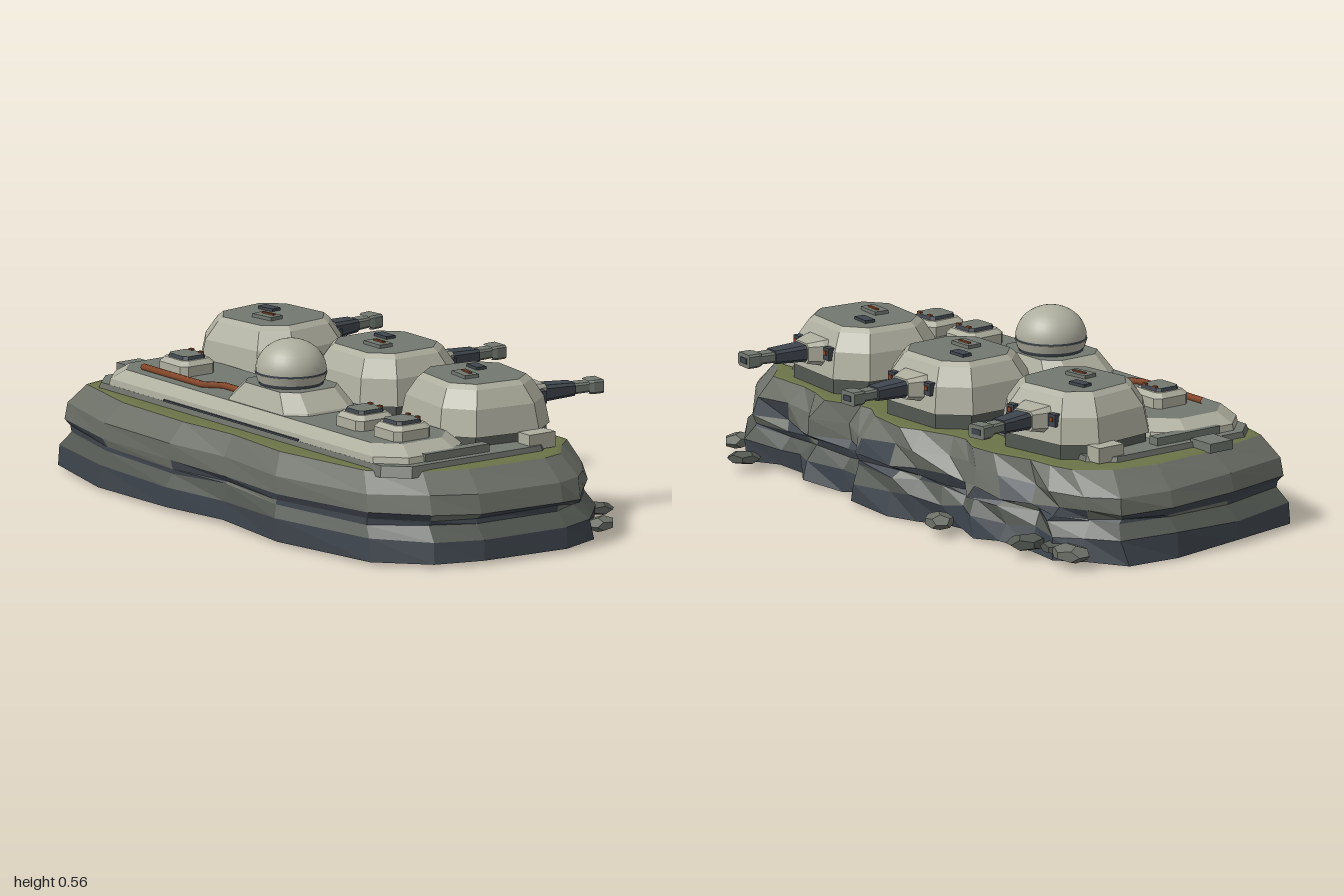
import * as THREE from 'three';

const mat = (name, color, side = THREE.FrontSide) => {
  const m = new THREE.MeshStandardMaterial({ color, side });
  m.name = name;
  return m;
};

export function createModel() {
  const D = THREE.DoubleSide;
  const light = mat('paleArmour', 0xaeae9f), deckGrey = mat('deckGrey', 0x727870);
  const rock = mat('rockGrey', 0x6c7067, D), slate = mat('darkSlate', 0x3f464e, D);
  const deepRock = mat('deepRock', 0x535852, D), moss = mat('moss', 0x6b7349, D);
  const copper = mat('copper', 0x86482a);
  const root = new THREE.Group();

  let seed = 11;
  const rnd = () => (seed = (seed * 16807) % 2147483647) / 2147483647;

  // Faceted skin over a stack of rings; pick(band, i) gives the material, band -1 is the top cap
  function loft(name, rings, mats, pick, capped = true) {
    const buckets = mats.map(() => []);
    const n = rings[0].length;
    const tri = (m, ...pts) => pts.forEach(p => buckets[m].push(p[0], p[1], p[2]));
    for (let b = 0; b < rings.length - 1; b++) {
      for (let i = 0; i < n; i++) {
        const j = (i + 1) % n, lo = rings[b], hi = rings[b + 1], m = pick(b, i);
        tri(m, lo[i], hi[i], hi[j]);
        tri(m, lo[i], hi[j], lo[j]);
      }
    }
    if (capped) {
      const top = rings[rings.length - 1];
      const c = [0, 1, 2].map(k => top.reduce((s, p) => s + p[k], 0) / n);
      for (let i = 0; i < n; i++) tri(pick(-1, i), c, top[(i + 1) % n], top[i]);
    }
    const g = new THREE.BufferGeometry();
    let start = 0;
    buckets.forEach((k, m) => {
      g.addGroup(start, k.length / 3, m);
      start += k.length / 3;
    });
    g.setAttribute('position', new THREE.Float32BufferAttribute(buckets.flat(), 3));
    g.computeVertexNormals();
    const mesh = new THREE.Mesh(g, mats);
    mesh.name = name;
    return mesh;
  }

  // Rectangle with cut corners
  const oct = (y, hx, hz, c, x = 0, z = 0) => [
    [-hx, hz - c], [-hx, c - hz], [c - hx, -hz], [hx - c, -hz],
    [hx, c - hz], [hx, hz - c], [hx - c, hz], [c - hx, hz],
  ].map(p => [p[0] + x, y, p[1] + z]);

  const block = (parent, name, levels, side, top = side) => {
    const m = loft(name, levels.map(l => oct(...l)), [side, top], b => (b < 0 ? 1 : 0));
    parent.add(m);
    return m;
  };
  const box = (parent, name, m, w, h, d, x, y, z) => {
    const b = new THREE.Mesh(new THREE.BoxGeometry(w, h, d), m);
    b.name = name;
    b.position.set(x, y, z);
    parent.add(b);
    return b;
  };

  // Rock island: an open shell of strata under a mossy top
  const outline = [
    [-1, -.05], [-.97, -.23], [-.88, -.31], [-.78, -.36], [-.66, -.34], [-.53, -.375], [-.4, -.4],
    [-.32, -.36], [-.24, -.365], [-.12, -.4], [-.02, -.415], [.16, -.4], [.22, -.36], [.29, -.35],
    [.43, -.385], [.52, -.35], [.62, -.345], [.78, -.35], [.88, -.26], [.96, -.2], [.99, -.1], [.97, .21],
    [.91, .36], [.76, .5], [.35, .56], [.03, .53], [-.23, .555], [-.6, .545], [-.905, .47], [-.975, .21],
  ];
  const strata = [
    [.012, 1, 1], [.08, .992, 1], [.125, .95, .967], [.14, .953, .967],
    [.162, .974, .985], [.22, .96, .985], [.285, .89, .92],
  ];
  const rings = strata.map(([y, sx, sz], k) => outline.map(([x, z]) => {
    const back = z < -.15;
    const j = back ? .03 : .006;
    return [
      x * sx + (Math.abs(x) > .97 ? 0 : (rnd() - .5) * j),
      y + (k === 6 ? 0 : (rnd() - .5) * (back ? .022 : .012)),
      z * sz + (rnd() - .5) * j * 1.2 - (back && k < 2 ? .01 : 0),
    ];
  }));
  const mossTop = rings[6].map(([x, y, z]) => [x * .985, .288, z * .97]);
  root.add(loft('rockIsland', [...rings, mossTop], [slate, deepRock, rock, moss], (b, i) => {
    if (b < 0) return 3;
    if (b === 3 || b === 2) return (i * 7 + b) % 5 === 0 ? 2 : 0;
    if (b === 4 && i < 22 && i % 6 === 4) return 0;
    return [0, 1, 0, 0, 2, 2, 3][b];
  }));

  // Loose boulders along the back shore
  [[-.86, -.37, .075], [-.67, -.39, .07], [-.29, -.44, .065], [.7, -.43, .055], [.88, -.31, .06], [-.78, -.36, .06]]
    .forEach(([x, z, r], i) => {
      const g = new THREE.DodecahedronGeometry(r, 0);
      const b = new THREE.Mesh(g, i % 2 ? deepRock : rock);
      b.name = 'boulder';
      b.scale.set(1, .4, .75);
      b.rotation.y = i * 1.3;
      b.position.set(x, .045, z);
      root.add(b);
    });

  // Deck, side ledges and raised front platform
  block(root, 'deck', [[.27, .81, .33, .07, 0, .115], [.305, .8, .32, .07, 0, .115]], rock, deckGrey);
  block(root, 'platform', [
    [.3, .77, .175, .08, 0, .26], [.325, .765, .172, .08, 0, .26], [.358, .71, .145, .07, 0, .26],
  ], light, deckGrey);
  box(root, 'sideStep', deckGrey, .1, .03, .09, -.84, .3, .21);
  for (const s of [-1, 1]) {
    box(root, 'sideButtress', light, .06, .05, .1, s * .76, .315, -.15);
    box(root, 'sidePanel', deckGrey, .04, .025, .25, s * .755, .318, .17);
    box(root, 'deckBolt', slate, .018, .02, .018, s * .22 + .02, .358, .115);
  }
  box(root, 'frontRail', slate, .7, .006, .008, .3 - .35, .308, .436);

  // Armoured hatches on the platform
  function hatch(x, z, w, d) {
    const g = new THREE.Group();
    g.name = 'platformHatch';
    block(g, 'hatchFrame', [[.35, w, d, .02], [.39, w, d, .02], [.405, w - .015, d - .015, .015]], light);
    block(g, 'hatchLid', [[.4, w - .022, d - .022, .012], [.416, w - .026, d - .026, .012]], slate, deckGrey);
    for (const s of [-1, 1]) box(g, 'hatchHinge', copper, .016, .006, .01, s * .025, .418, .03 - d);
    g.position.set(x, 0, z);
    root.add(g);
  }
  hatch(-.51, .265, .073, .067);
  hatch(.43, .275, .07, .072);
  hatch(.62, .27, .07, .072);

  // Copper conduit
  const path = new THREE.CurvePath();
  const pts = [[-.61, .36], [-.3, .36], [-.25, .315], [-.165, .315]].map(p => new THREE.Vector3(p[0], .366, p[1]));
  for (let i = 0; i < 3; i++) path.add(new THREE.LineCurve3(pts[i], pts[i + 1]));
  const pipe = new THREE.Mesh(new THREE.TubeGeometry(path, 30, .011, 6), copper);
  pipe.name = 'conduit';
  root.add(pipe);

  // Observation dome on its pedestal
  const dome = new THREE.Group();
  dome.name = 'observationDome';
  block(dome, 'domePedestal', [[.34, .205, .145, .06], [.365, .195, .135, .055], [.42, .135, .112, .045]], light, deckGrey);
  const drum = (name, m, r0, r1, y0, y1) => {
    const c = new THREE.Mesh(new THREE.CylinderGeometry(r1, r0, y1 - y0, 28), m);
    c.name = name;
    c.position.y = (y0 + y1) / 2;
    dome.add(c);
  };
  drum('domeFoot', slate, .1, .104, .415, .43);
  drum('domeCollar', light, .106, .114, .43, .456);
  drum('domeSeam', slate, .112, .112, .456, .462);
  const cap = new THREE.Mesh(new THREE.SphereGeometry(.112, 28, 10, 0, Math.PI * 2, 0, Math.PI / 2), light);
  cap.name = 'domeCap';
  cap.position.y = .462;
  cap.scale.y = .88;
  dome.add(cap);
  dome.position.set(.03, 0, .262);
  root.add(dome);

  // Gun turrets
  function turret(x, z, turn) {
    const g = new THREE.Group();
    g.name = 'gunTurret';
    block(g, 'turretBase', [[.28, .2, .19, .08], [.345, .2, .19, .08]], deepRock);
    block(g, 'turretShell', [
      [.335, .212, .197, .085], [.42, .196, .183, .08], [.475, .163, .153, .07], [.49, .145, .136, .06],
    ], light, deckGrey);
    // Roof fittings
    box(g, 'roofVent', slate, .065, .01, .035, -.06, .494, -.04);
    box(g, 'roofHatch', deckGrey, .085, .012, .05, .02, .495, .045);
    box(g, 'roofHatchBar', copper, .05, .005, .01, .02, .503, .04);
    // Gun: tapered sections pointing backwards
    const gun = new THREE.Group();
    gun.name = 'gun';
    block(gun, 'mantlet', [[.14, .075, .045, .015], [.19, .065, .04, .015], [.235, .042, .032, .01]], light);
    block(gun, 'barrelSleeve', [[.22, .038, .027, .01], [.345, .031, .021, .008]], slate);
    block(gun, 'barrel', [[.34, .026, .017, .006], [.405, .025, .016, .006]], deckGrey);
    block(gun, 'muzzle', [[.395, .028, .02, .006], [.41, .034, .022, .006], [.445, .034, .022, .006]], deckGrey);
    box(gun, 'bore', slate, .036, .004, .018, 0, .446, 0);
    gun.rotation.x = -Math.PI / 2;
    gun.position.y = .403;
    g.add(gun);
    for (const s of [-1, 1]) {
      box(g, 'sightHousing', slate, .03, .04, .03, s * .09, .41, -.185);
      box(g, 'sightLens', copper, .014, .014, .006, s * .09, .414, -.202);
    }
    g.position.set(x, 0, z);
    g.rotation.y = turn;
    root.add(g);
  }
  turret(0, -.13, 0);
  turret(-.52, -.08, .13);
  turret(.51, -.095, -.13);

  return root;
}
